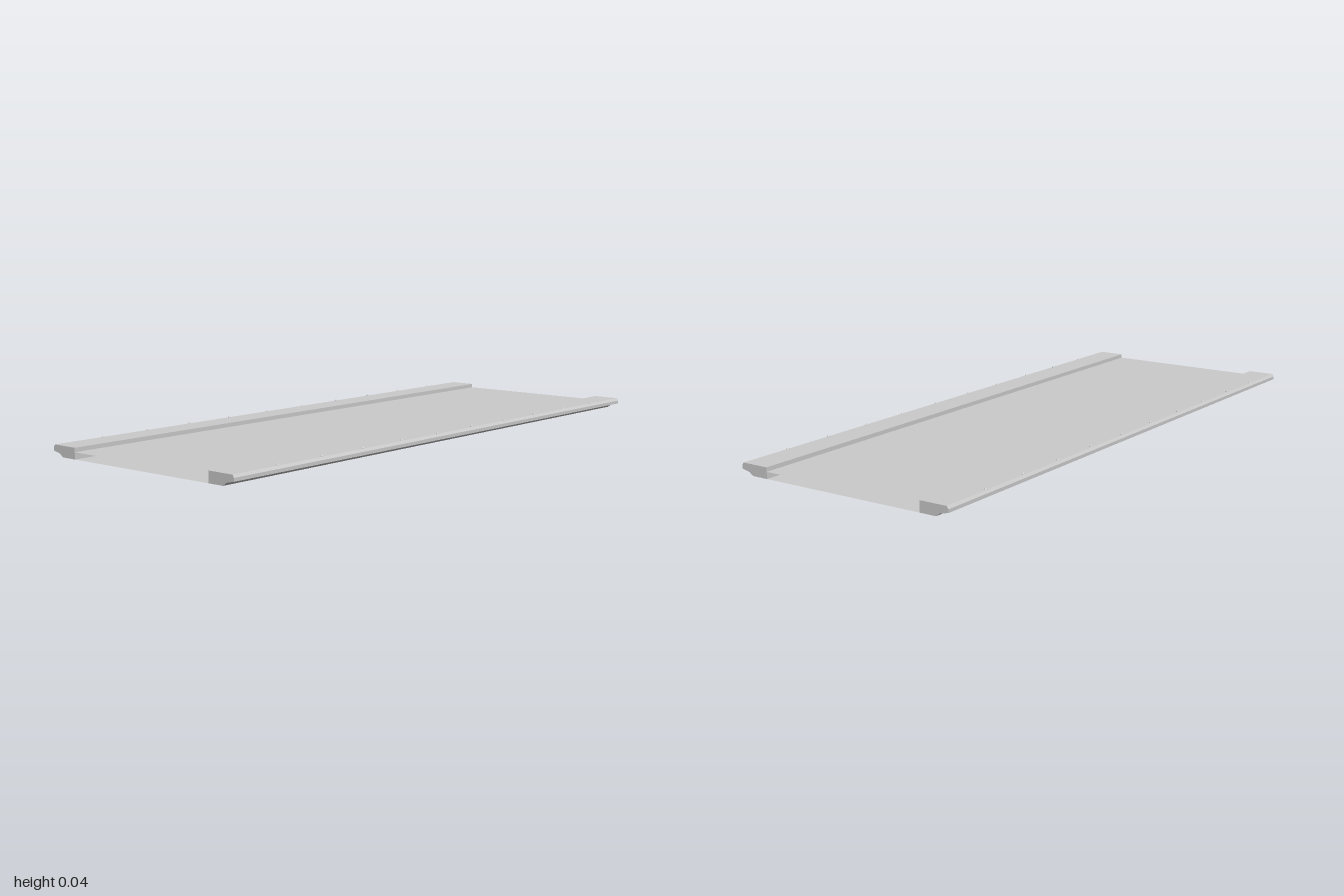
import * as THREE from 'three';

const LENGTH = 2;
const INNER = 0.285; // inner wall of the side rails
const DECK_Y = 0.022;

export function createModel() {
  const group = new THREE.Group();
  group.name = 'bridgeDeck';
  const grey = new THREE.MeshStandardMaterial({ color: 0xcccccc, flatShading: true });
  const sheet = new THREE.MeshStandardMaterial({ color: 0xcccccc, side: THREE.DoubleSide });

  const add = (name, geometry, material, x = 0, y = 0, z = 0) => {
    const mesh = new THREE.Mesh(geometry, material);
    mesh.name = name;
    mesh.position.set(x, y, z);
    group.add(mesh);
    return mesh;
  };

  // Hollow deck: two thin sheets, open at both ends
  const plate = new THREE.PlaneGeometry(INNER * 2, LENGTH).rotateX(-Math.PI / 2);
  add('deckTop', plate, sheet, 0, DECK_Y);
  add('deckBottom', plate, sheet);

  // Rail cross-section for the +x side; mirrored for the other
  const profile = [
    [INNER, 0], [0.341, 0], [0.355, 0.01], [0.384, 0.0165],
    [0.384, 0.027], [0.378, 0.0355], [INNER, 0.0355],
  ];
  const stud = new THREE.SphereGeometry(0.005, 10, 5, 0, Math.PI * 2, 0, Math.PI / 2);

  for (const [side, label] of [[1, 'left'], [-1, 'right']]) {
    const shape = new THREE.Shape(profile.map(([x, y]) => new THREE.Vector2(x * side, y)));
    const rail = new THREE.ExtrudeGeometry(shape, { depth: LENGTH, bevelEnabled: false });
    add(label + 'Rail', rail.translate(0, 0, -LENGTH / 2), grey);

    // Small studs evenly spaced along the outer edge
    for (let i = 1; i <= 10; i++) {
      add(label + 'Stud' + i, stud, grey, side * 0.373, 0.0352, -1 + (i * LENGTH) / 11);
    }
  }
  return group;
}
